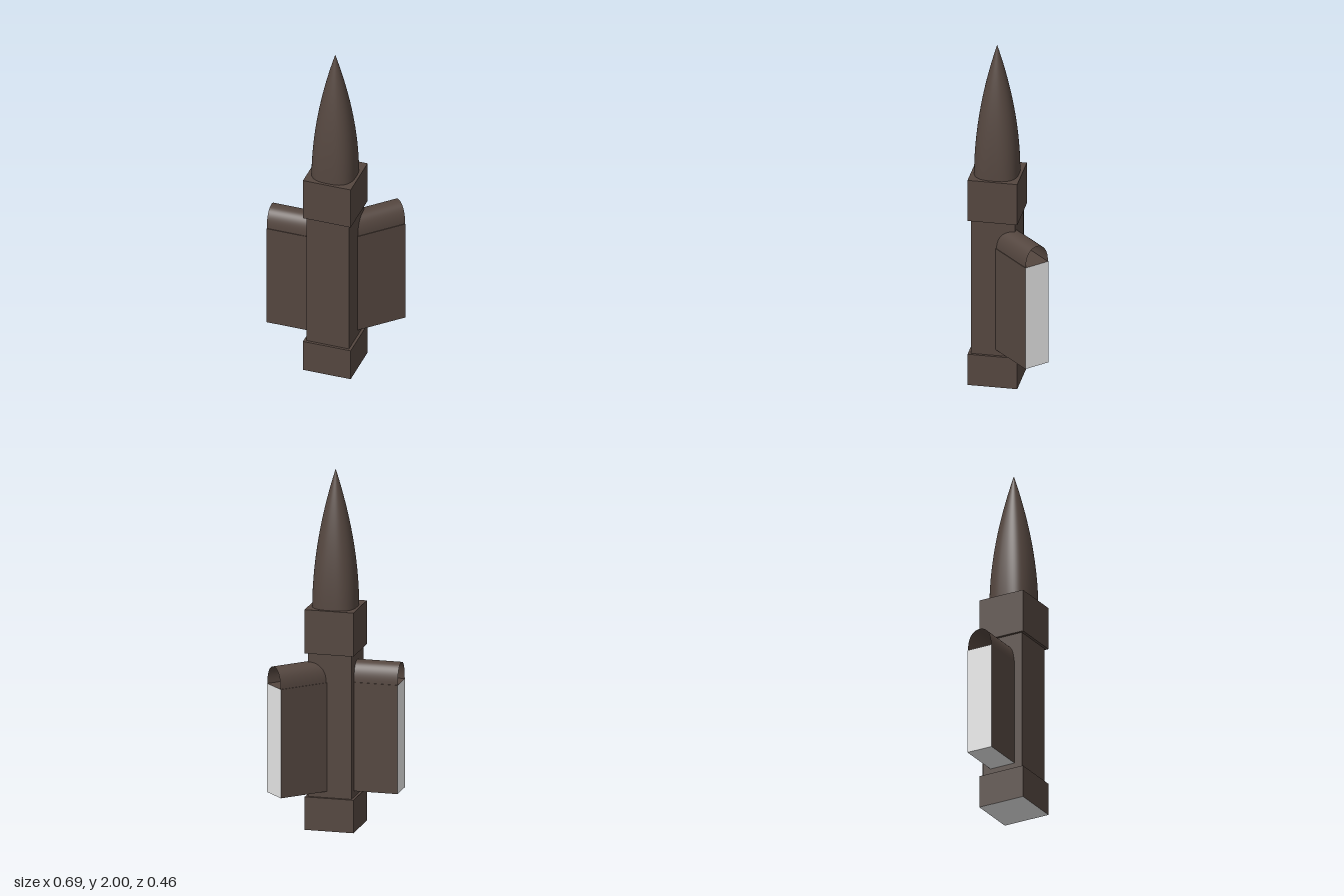
import * as THREE from 'three';
import { mergeVertices } from 'three/addons/utils/BufferGeometryUtils.js';

// Point on a rounded square (n = 2 is a circle)
function squircle(a, n) {
  const f = (v) => Math.sign(v) * Math.pow(Math.abs(v), 2 / n);
  return [f(Math.cos(a)), f(Math.sin(a))];
}

export function createModel() {
  const brown = new THREE.MeshStandardMaterial({ color: 0x54463f, side: THREE.DoubleSide });
  brown.name = 'brown stone';
  const pale = new THREE.MeshStandardMaterial({ color: 0xececec });
  pale.name = 'pale cut face';

  const model = new THREE.Group();
  model.name = 'tower';
  const tower = new THREE.Group();
  tower.name = 'towerBody';
  tower.position.set(0.02, 0, 0.093);
  model.add(tower);

  // Box from x0 to x1 and y0 to y1; pale faces are listed by box side index
  function block(name, parent, x0, x1, y0, y1, depth, paleSides = []) {
    const geo = new THREE.BoxGeometry(x1 - x0, y1 - y0, depth);
    geo.translate((x0 + x1) / 2, (y0 + y1) / 2, 0);
    const mats = [0, 1, 2, 3, 4, 5].map((i) => (paleSides.includes(i) ? pale : brown));
    const mesh = new THREE.Mesh(geo, paleSides.length ? mats : brown);
    mesh.name = name;
    parent.add(mesh);
  }

  // Square shaft between a plinth and an upper collar
  block('plinth', tower, -0.137, 0.137, 0, 0.185, 0.274, [3]);
  block('shaft', tower, -0.122, 0.122, 0.185, 0.99, 0.244);
  block('collar', tower, -0.137, 0.137, 0.99, 1.235, 0.274);

  // Curved spire: rounded square at the foot, round at the tip
  const y0 = 1.235, height = 0.765, steps = 24;
  const profile = [];
  for (let i = 0; i <= steps; i++) {
    const t = i / steps;
    profile.push(new THREE.Vector2(0.122 * (1 - Math.pow(t, 1.95)), y0 + t * height));
  }
  let spireGeo = new THREE.LatheGeometry(profile, 64);
  const p = spireGeo.attributes.position;
  for (let i = 0; i < p.count; i++) {
    const x = p.getX(i), z = p.getZ(i), r = Math.hypot(x, z);
    const t = (p.getY(i) - y0) / height;
    const [cx, cz] = squircle(Math.atan2(z, x), 2.75 - 0.75 * t);
    p.setX(i, cx * r);
    p.setZ(i, cz * r);
  }
  spireGeo.deleteAttribute('uv');
  spireGeo.deleteAttribute('normal');
  spireGeo = mergeVertices(spireGeo, 1e-5);
  spireGeo.computeVertexNormals();
  const spire = new THREE.Mesh(spireGeo, brown);
  spire.name = 'spire';
  tower.add(spire);

  // Wing: a block with pale end and underside, under an open barrel roof
  function wing(name, length, angle) {
    const group = new THREE.Group();
    group.name = name;
    const start = 0.09;
    block(name + 'Wall', group, start, length, 0.22, 0.83, 0.151, [0, 3]);

    const roofGeo = new THREE.PlaneGeometry(length - start, 1, 1, 28);
    const q = roofGeo.attributes.position;
    for (let i = 0; i < q.count; i++) {
      const [c, s] = squircle((q.getY(i) + 0.5) * Math.PI, 2.25);
      q.setXYZ(i, q.getX(i) + (start + length) / 2, 0.83 + 0.11 * s, 0.072 * c);
    }
    roofGeo.computeVertexNormals();
    const roof = new THREE.Mesh(roofGeo, brown);
    roof.name = name + 'Roof';
    group.add(roof);

    group.rotation.y = angle;
    tower.add(group);
  }
  wing('rightWing', 0.368, Math.PI);
  wing('backLeftWing', 0.385, Math.PI / 4);

  return model;
}
